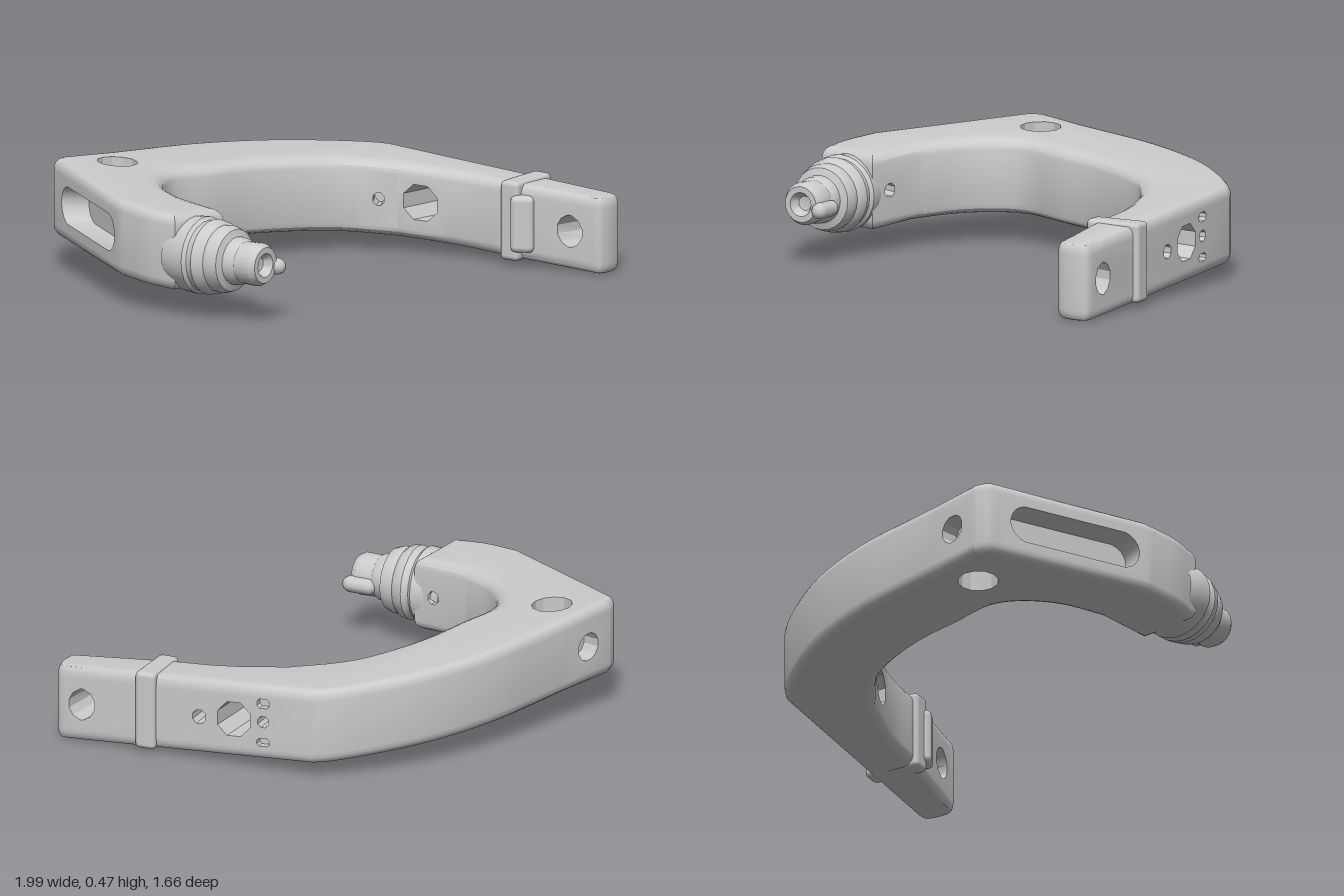
import * as THREE from 'three';
import { mergeGeometries, toCreasedNormals } from 'three/addons/utils/BufferGeometryUtils.js';
import { RoundedBoxGeometry } from 'three/addons/geometries/RoundedBoxGeometry.js';

const H = 0.32, BEVEL = 0.045, STEPS = 4;
const V = (x, y, z) => new THREE.Vector3(x, y, z);
const baseY = (x, z) => 0.077 - 0.0426 * x - 0.0485 * z; // the frame leans slightly

// Plan outline as [x, z] runs; two points make a flat panel, more make a curve.
// w is how far the rounded edge reaches inward at the start of the run.
const RUNS = [
  { w: 0.04, p: [[-0.975, 0.2], [-1, 0.05], [-0.99, -0.13]] },
  { w: 0.04, p: [[-0.99, -0.13], [-0.735, -0.76]] },
  { w: 0.03, p: [[-0.735, -0.76], [-0.71, -0.81], [-0.65, -0.835]] },
  { w: 0.03, p: [[-0.65, -0.835], [-0.4, -0.805]] },
  { w: 0.04, p: [[-0.4, -0.805], [-0.2, -0.785], [0, -0.76], [0.2, -0.71], [0.4, -0.63], [0.6, -0.51], [0.73, -0.405], [0.77, -0.35]] },
  { w: 0.03, p: [[0.77, -0.35], [0.985, 0.75]] },
  { w: 0.02, p: [[0.985, 0.75], [0.98, 0.79], [0.95, 0.812], [0.88, 0.825], [0.845, 0.815], [0.83, 0.775]] },
  { w: 0.02, p: [[0.83, 0.775], [0.7, 0.38]] },
  { w: 0.04, p: [[0.7, 0.38], [0.665, 0.24], [0.62, 0.12]] },
  { w: 0.06, p: [[0.62, 0.12], [0.53, -0.06]] },
  { w: 0.07, p: [[0.53, -0.06], [0.43, -0.18]] },
  { w: 0.07, p: [[0.43, -0.18], [0.35, -0.25], [0.19, -0.32], [0, -0.37], [-0.2, -0.39], [-0.4, -0.41], [-0.505, -0.36], [-0.61, -0.24], [-0.68, -0.06]] },
  { w: 0.07, p: [[-0.68, -0.06], [-0.7, 0.2]] },
  { w: 0.05, p: [[-0.7, 0.2], [-0.975, 0.2]] },
];

// Openings in the panels: blind ones have a depth, through ones lead to another panel.
const HOLES = [
  { run: 1, at: [-0.865, -0.44], y: 0.16, rx: 0.3, ry: 0.08, n: 20, depth: 0.12 },
  { run: 3, at: [-0.52, -0.82], y: 0.16, rx: 0.06, ry: 0.06, n: 12, depth: 0.08 },
  { run: 5, at: [0.97, 0.68], y: 0.16, rx: 0.06, ry: 0.07, n: 12, to: 7, toAt: [0.795, 0.69] },
  { run: 5, at: [0.84, 0], y: 0.165, rx: 0.08, ry: 0.08, n: 8, to: 9, toAt: [0.577, 0.03] },
  { run: 5, at: [0.87, 0.155], y: 0.16, rx: 0.032, ry: 0.032, n: 8, depth: 0.1 },
  { run: 5, at: [0.81, -0.13], y: 0.165, rx: 0.026, ry: 0.026, n: 8, depth: 0.08 },
  { run: 5, at: [0.81, -0.13], y: 0.245, rx: 0.03, ry: 0.022, n: 8, depth: 0.03 },
  { run: 5, at: [0.81, -0.13], y: 0.075, rx: 0.03, ry: 0.018, n: 8, depth: 0.03 },
  { run: 10, at: [0.48, -0.12], y: 0.16, rx: 0.026, ry: 0.03, n: 8, depth: 0.08 },
  { run: 12, at: [-0.692, 0.1], y: 0.16, rx: 0.03, ry: 0.03, n: 8, depth: 0.1 },
];

// Outline of an opening in panel coordinates: a circle, or a stadium when rx > ry
const ring2D = (h, mirror = 1) => Array.from({ length: h.n }, (_, i) => {
  const a = (i + 0.5) / h.n * Math.PI * 2, c = Math.cos(a);
  return [mirror * (c * h.ry + Math.sign(c) * (h.rx - h.ry)), Math.sin(a) * h.ry + h.y];
});

function frameGeometry() {
  const tri = [], parts = [];
  const quad = (a, b, c, d) => [a, b, c, a, c, d].forEach(p => tri.push(p.x, p.y, p.z));
  const addPart = g => {
    const flat = g.index ? g.toNonIndexed() : g;
    flat.deleteAttribute('uv');
    flat.deleteAttribute('normal');
    parts.push(flat);
  };

  // Outline stations; the y of each holds its edge width
  const stations = [], panelAt = [];
  RUNS.forEach((r, k) => {
    const w2 = RUNS[(k + 1) % RUNS.length].w, n = r.p.length - 1;
    const pts = r.p.map(([x, z], i) => V(x, r.w + (w2 - r.w) * i / n, z));
    const list = n === 1 ? pts : new THREE.CatmullRomCurve3(pts).getPoints(n * 5);
    list.slice(0, -1).forEach(p => { panelAt.push(n === 1 ? k : -1); stations.push(p); });
  });
  const N = stations.length;
  const normal = (a, b) => V(b.z - a.z, 0, a.x - b.x).normalize();
  const inward = stations.map((p, i) => {
    const n1 = normal(stations[(i + N - 1) % N], p), n2 = normal(p, stations[(i + 1) % N]);
    return n1.clone().add(n2).multiplyScalar(-p.y / (1 + n1.dot(n2)));
  });

  // Rounded edges and plain walls, row by row from bottom to top
  const rows = [];
  for (let j = 0; j <= STEPS; j++) {
    const a = j / STEPS * Math.PI / 2;
    rows.push([1 - Math.sin(a), BEVEL * (1 - Math.cos(a))]);
  }
  rows.push(...rows.map(([s, y]) => [s, H - y]).reverse());
  const P = (j, i) => {
    const s = stations[i % N], d = inward[i % N];
    return V(s.x + d.x * rows[j][0], rows[j][1], s.z + d.z * rows[j][0]);
  };
  for (let j = 0; j < rows.length - 1; j++) for (let i = 0; i < N; i++) {
    if (j === STEPS && panelAt[i] >= 0) continue;
    quad(P(j, i + 1), P(j, i), P(j + 1, i), P(j + 1, i + 1));
  }

  // Flat panels with their openings cut out
  const basis = k => {
    const [a, b] = RUNS[k].p.map(([x, z]) => V(x, 0, z));
    return new THREE.Matrix4().makeBasis(a.clone().sub(b).normalize(), V(0, 1, 0), normal(a, b)).setPosition(b);
  };
  const cuts = RUNS.map(() => []);
  const cut = (k, at, h, mirror) => {
    const m = basis(k), u = V(at[0], 0, at[1]).applyMatrix4(m.clone().invert()).x;
    const pts = ring2D(h, mirror).map(([x, y]) => new THREE.Vector2(x + u, y));
    cuts[k].push(pts);
    return pts.map(p => V(p.x, p.y, 0).applyMatrix4(m));
  };
  const sleeve = (A, B) => A.forEach((p, i) => {
    const q = (i + 1) % A.length;
    quad(p, A[q], B[q], B[i]);
  });
  HOLES.forEach(h => {
    const A = cut(h.run, h.at, h, 1);
    if (h.to) return sleeve(A, cut(h.to, h.toAt, h, -1));
    const n = V(0, 0, 1).transformDirection(basis(h.run));
    const B = A.map(p => p.clone().addScaledVector(n, -h.depth));
    sleeve(A, B);
    for (let i = 1; i < B.length - 1; i++) [B[0], B[i], B[i + 1]].forEach(p => tri.push(p.x, p.y, p.z));
  });
  RUNS.forEach((r, k) => {
    if (r.p.length > 2) return;
    const L = Math.hypot(r.p[0][0] - r.p[1][0], r.p[0][1] - r.p[1][1]);
    const shape = new THREE.Shape([[0, BEVEL], [L, BEVEL], [L, H - BEVEL], [0, H - BEVEL]].map(q => new THREE.Vector2(...q)));
    shape.holes = cuts[k].map(pts => new THREE.Path(pts));
    addPart(new THREE.ShapeGeometry(shape).applyMatrix4(basis(k)));
  });

  // Top and bottom faces with the upright hole
  const eye = Array.from({ length: 12 }, (_, i) => {
    const a = i / 12 * Math.PI * 2;
    return new THREE.Vector2(-0.51 + 0.085 * Math.cos(a), 0.64 + 0.085 * Math.sin(a));
  });
  const face = new THREE.Shape(stations.map((_, i) => { const p = P(0, i); return new THREE.Vector2(p.x, -p.z); }));
  face.holes.push(new THREE.Path(eye));
  const cap = new THREE.ShapeGeometry(face).rotateX(-Math.PI / 2);
  addPart(cap.clone().translate(0, H, 0));
  const under = cap.clone();
  under.index.array.reverse();
  addPart(under);
  sleeve(eye.map(p => V(p.x, H, -p.y)), eye.map(p => V(p.x, 0, -p.y)));

  const strips = new THREE.BufferGeometry();
  strips.setAttribute('position', new THREE.Float32BufferAttribute(tri, 3));
  parts.push(strips);
  const all = mergeGeometries(parts), pos = all.attributes.position;
  for (let i = 0; i < pos.count; i++) pos.setY(i, pos.getY(i) + baseY(pos.getX(i), pos.getZ(i)));
  return toCreasedNormals(all, 0.5);
}

export function createModel() {
  const group = new THREE.Group();
  const mat = new THREE.MeshStandardMaterial({ color: 0xcccccc, side: THREE.DoubleSide });
  const add = (name, geo, x = 0, y = 0, z = 0, ry = 0) => {
    const m = new THREE.Mesh(geo, mat);
    m.name = name;
    m.position.set(x, y, z);
    m.rotation.y = ry;
    group.add(m);
  };

  add('curvedFrame', frameGeometry());

  // Ribbed end fitting with a dished tip
  const profile = [[0.14, 0], [0.158, 0.06], [0.162, 0.12], [0.15, 0.135], [0.15, 0.15], [0.158, 0.165], [0.152, 0.2],
    [0.14, 0.215], [0.142, 0.24], [0.13, 0.275], [0.1, 0.285], [0.098, 0.32], [0.088, 0.335], [0.09, 0.41],
    [0.075, 0.435], [0.05, 0.435], [0.03, 0.4], [0, 0.395]].map(p => new THREE.Vector2(...p));
  add('endFitting', toCreasedNormals(new THREE.LatheGeometry(profile, 24).rotateX(Math.PI / 2), 0.6), -0.86, 0.25, 0.12, 0.16);
  add('fittingPin', new THREE.CapsuleGeometry(0.035, 0.08, 4, 10).rotateX(Math.PI / 2), -0.71, 0.23, 0.49, 0.16);

  // Worn clip around the straight arm
  add('armClip', new RoundedBoxGeometry(0.25, 0.335, 0.09, 2, 0.02), 0.815, 0.187, 0.41, 0.19);
  add('clipLug', new RoundedBoxGeometry(0.09, 0.24, 0.1, 2, 0.025), 0.735, 0.18, 0.48, 0.6);
  return group;
}
